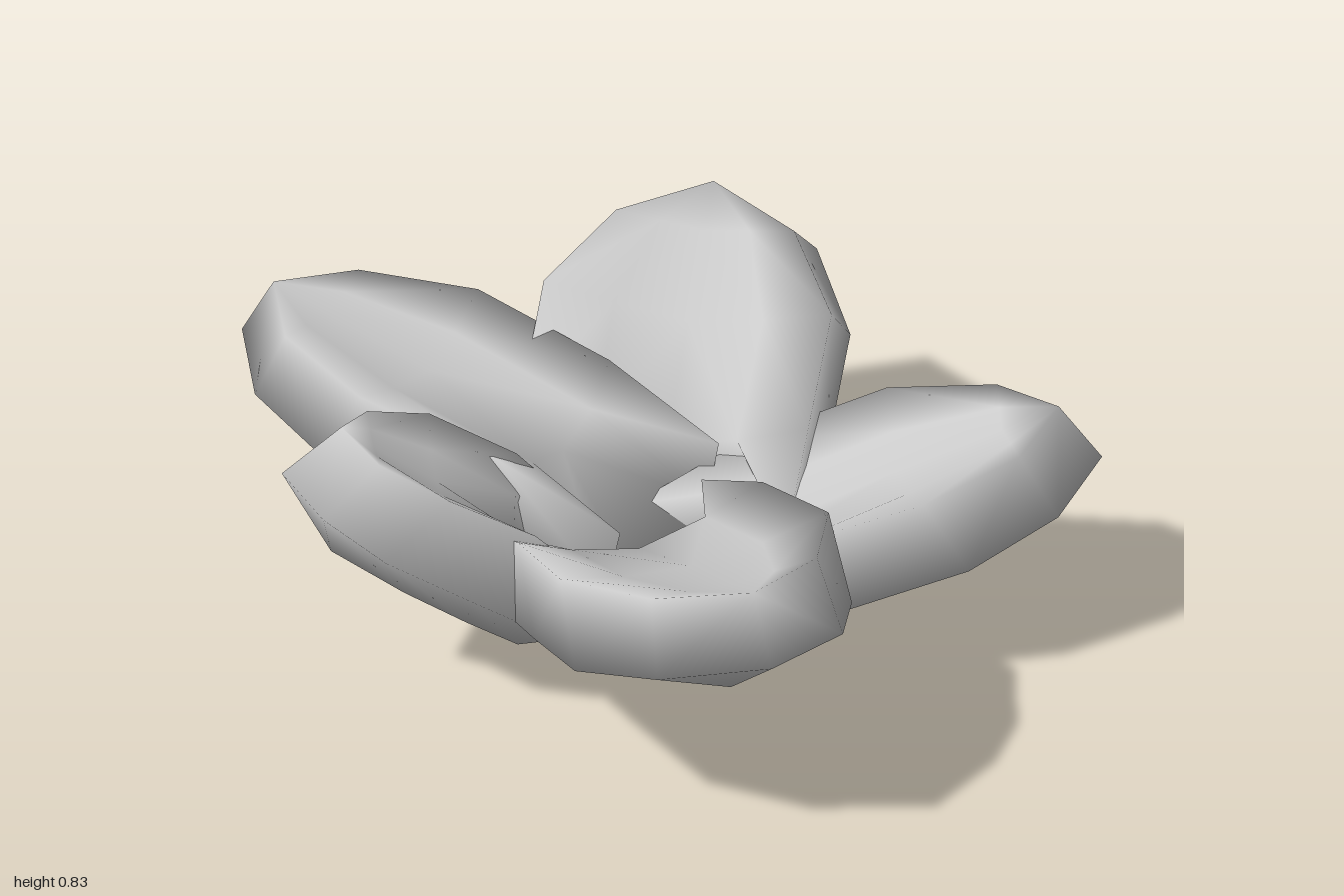
import * as THREE from 'three';
import { mergeVertices } from 'three/addons/utils/BufferGeometryUtils.js';

// Each petal: rim centre at its base, rim tip, greatest half width, half width at the base, keel depth
const PETALS = [
  { name: 'rightPetal', base: [0.19, 0.48, 0.015], tip: [-0.91, 0.70, 0.16], wide: 0.285, foot: 0.23, deep: 0.34 },
  { name: 'frontLeftPetal', base: [0.07, 0.45, 0.15], tip: [0.89, 0.75, 0.57], wide: 0.365, foot: 0.28, deep: 0.3 },
  { name: 'backPetal', base: [0.11, 0.34, 0.0], tip: [-0.22, 0.845, -0.67], wide: 0.365, foot: 0.34, deep: 0.33 },
  { name: 'backLeftPetal', base: [0.17, 0.32, 0.08], tip: [0.84, 0.63, -0.67], wide: 0.27, foot: 0.215, deep: 0.32 },
  { name: 'frontPetal', base: [0.14, 0.42, 0.26], tip: [-0.28, 0.81, 0.69], wide: 0.2, foot: 0.165, deep: 0.32 },
];

// Closed petal: a boat-shaped hull under a nearly flat upper face that dives to the keel at the base
function petalGeometry({ base, tip, wide, foot, deep }) {
  const origin = new THREE.Vector3(...base);
  const along = new THREE.Vector3(...tip).sub(origin);
  const length = along.length();
  along.normalize();
  const across = new THREE.Vector3().crossVectors(along, new THREE.Vector3(0, 1, 0)).normalize();
  const inward = new THREE.Vector3().crossVectors(across, along);
  const full = length + 0.055;
  const belly = 0.18;
  const baseSide = [0, foot * 1.03, belly];
  const baseKeel = [0, 0, deep];
  const end = [full, 0, belly];
  const peak = [length, 0, 0];

  // rim, belly, keel, then half and middle of the upper face: [distance along, half width, depth]
  const stations = [
    [[0, foot, 0], baseSide, baseKeel, baseSide, baseKeel],
    [[length * 0.3, (foot + wide) * 0.5, -0.05], [full * 0.33, (foot + wide) * 0.515, belly],
      [length * 0.2, 0, deep * 1.02], [length * 0.27, wide * 0.48, 0.01], [length * 0.26, 0, 0.05]],
    [[length * 0.64, wide * 0.97, -0.04], [full * 0.65, wide, belly],
      [length * 0.45, 0, deep * 1.02], [length * 0.62, wide * 0.5, 0], [length * 0.6, 0, 0.02]],
    [[length * 0.88, wide * 0.6, -0.01], [full * 0.87, wide * 0.67, belly],
      [length * 0.76, 0, deep * 0.97], [length * 0.87, wide * 0.3, 0], [length * 0.86, 0, 0.01]],
    [peak, end, end, peak, peak],
  ];

  const positions = [];
  for (const [rim, side, keel, half, middle] of stations) {
    const loop = [[rim, -1], [side, -1], [keel, 0], [side, 1], [rim, 1], [half, 1], [middle, 0], [half, -1]];
    for (const [[u, w, d], sign] of loop) {
      const p = origin.clone()
        .addScaledVector(along, u)
        .addScaledVector(across, w * sign)
        .addScaledVector(inward, -d);
      positions.push(p.x, p.y, p.z);
    }
  }

  // diagonals mirror about the keel
  const index = [];
  for (let s = 0; s < stations.length - 1; s++) {
    for (let k = 0; k < 8; k++) {
      const a = s * 8 + k, b = s * 8 + (k + 1) % 8, c = a + 8, d = b + 8;
      if (k < 2 || k > 5) index.push(a, c, b, b, c, d);
      else index.push(a, d, b, a, c, d);
    }
  }

  const geometry = new THREE.BufferGeometry();
  geometry.setAttribute('position', new THREE.Float32BufferAttribute(positions, 3));
  geometry.setIndex(index);
  const welded = mergeVertices(geometry);
  welded.computeVertexNormals();
  return welded;
}

export function createModel() {
  const model = new THREE.Group();
  model.name = 'flower';
  const material = new THREE.MeshStandardMaterial({ color: 0xcccccc });

  const petals = new THREE.Group();
  petals.name = 'petals';
  for (const spec of PETALS) {
    const petal = new THREE.Mesh(petalGeometry(spec), material);
    petal.name = spec.name;
    petals.add(petal);
  }

  // rest on the ground, centred
  const box = new THREE.Box3().setFromObject(petals);
  const centre = box.getCenter(new THREE.Vector3());
  petals.position.set(-centre.x, -box.min.y, -centre.z);
  model.add(petals);
  return model;
}
